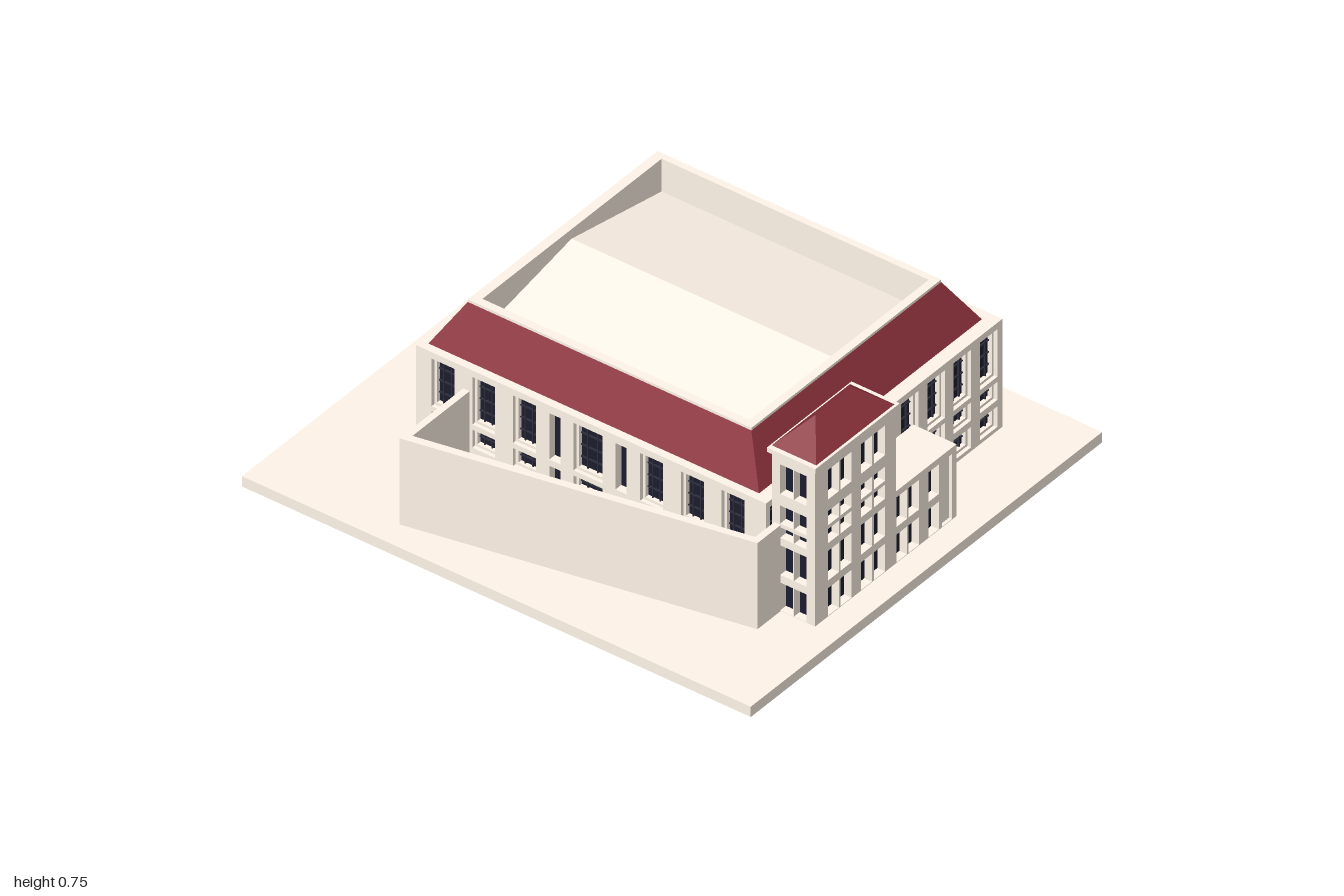
import * as THREE from 'three';
import { mergeGeometries } from 'three/addons/utils/BufferGeometryUtils.js';

const mat = (color) => new THREE.MeshStandardMaterial({ color, flatShading: true });
const STONE = mat(0xfff4e8), RED = mat(0x8a303a), GLASS = mat(0x1b1c2e), BAR = mat(0x2c2e3c), METAL = mat(0x9a9590);
const AWNING = RED.clone();
AWNING.side = THREE.DoubleSide;
const GROUND = 0.04, WALL = 0.03;

function add(parent, name, geometry, material) {
  const mesh = new THREE.Mesh(geometry, material);
  mesh.name = name;
  parent.add(mesh);
}

function boxGeo(x0, x1, y0, y1, z0, z1) {
  return new THREE.BoxGeometry(x1 - x0, y1 - y0, z1 - z0)
    .translate((x0 + x1) / 2, (y0 + y1) / 2, (z0 + z1) / 2);
}

const polygon = (pts, C = THREE.Shape) => new C(pts.map(([x, y]) => new THREE.Vector2(x, y)));
const rect = (x0, x1, y0, y1) => [[x0, y0], [x1, y0], [x1, y1], [x0, y1]];

function extrude(outer, holes, depth) {
  const shape = polygon(outer);
  for (const h of holes) shape.holes.push(polygon(h, THREE.Path));
  return new THREE.ExtrudeGeometry(shape, { depth, bevelEnabled: false });
}

// Plan outline given as [x, z], raised from y0 to y1
function slab(outer, holes, y0, y1) {
  const flip = (pts) => pts.map(([x, z]) => [x, -z]).reverse();
  return extrude(flip(outer), holes.map(flip), y1 - y0).rotateX(-Math.PI / 2).translate(0, y0, 0);
}

// Sloped roof faces between two rectangles [x0, x1, z0, z1, y]
function slopes(low, high) {
  const ring = ([x0, x1, z0, z1, y]) => [[x0, y, z1], [x1, y, z1], [x1, y, z0], [x0, y, z0]];
  const a = ring(low), b = ring(high), pos = [];
  for (let i = 0; i < 4; i++) {
    const j = (i + 1) % 4;
    pos.push(...a[i], ...a[j], ...b[j], ...a[i], ...b[j], ...b[i]);
  }
  const g = new THREE.BufferGeometry();
  g.setAttribute('position', new THREE.Float32BufferAttribute(pos, 3));
  g.computeVertexNormals();
  return g;
}

// Wall with window openings; windows are [centreX, y0, y1, width, framed]
function facade(parent, name, width, top, windows, x, z, turn) {
  const group = new THREE.Group();
  group.name = name;
  group.position.set(x, 0, z);
  group.rotation.y = turn;
  parent.add(group);
  const holes = [], frames = [], bars = [];
  for (const [c, y0, y1, w, framed] of windows) {
    const l = c - w / 2, r = c + w / 2, b = 0.01;
    holes.push(rect(l, r, y0, y1));
    if (!framed) continue;
    // Frame and glazing bars set back inside the opening
    frames.push(extrude(rect(l, r, y0, y1), [rect(l + b, r - b, y0 + b, y1 - b)], 0.016).translate(0, 0, -WALL));
    const cols = w > 0.06 ? 3 : 2, rows = Math.max(2, Math.round((y1 - y0) / 0.045));
    for (let i = 1; i < cols; i++) {
      const u = l + w * i / cols;
      bars.push(boxGeo(u - 0.002, u + 0.002, y0, y1, -WALL, -WALL + 0.007));
    }
    for (let i = 1; i < rows; i++) {
      const v = y0 + (y1 - y0) * i / rows;
      bars.push(boxGeo(l, r, v - 0.002, v + 0.002, -WALL, -WALL + 0.006));
    }
  }
  add(group, 'wall', extrude(rect(-width / 2, width / 2, GROUND, top), holes, WALL).translate(0, 0, -WALL), STONE);
  if (frames.length) add(group, 'windowFrames', mergeGeometries(frames), STONE);
  if (bars.length) add(group, 'windowBars', mergeGeometries(bars), BAR);
  return group;
}

const ROWS = [[0.25, 0.435], [0.16, 0.23], [0.055, 0.135]];

function mainHall(root) {
  const hall = new THREE.Group();
  hall.name = 'mainHall';
  root.add(hall);
  const X0 = -0.48, X1 = 0.74, Z0 = -0.64, Z1 = 0.735, cx = 0.13, cz = 0.0475;
  add(hall, 'darkInterior', boxGeo(X0 + WALL, X1 - WALL, GROUND, 0.44, Z0 + WALL, Z1 - WALL), GLASS);
  add(hall, 'wallTop', boxGeo(X0 + WALL, X1 - WALL, 0.44, 0.46, Z0 + WALL, Z1 - WALL), STONE);

  // Front and back: nine bays of three windows
  for (const [name, z, dir] of [['frontWall', Z1, 1], ['backWall', Z0, -1]]) {
    const bays = [];
    for (let i = -4; i <= 4; i++)
      for (const [a, b] of ROWS) bays.push([i * 0.1355 - dir * 0.003, a, b, 0.09, true]);
    facade(hall, name, X1 - X0, 0.46, bays, cx, z, dir > 0 ? 0 : Math.PI);
  }

  // Sides: three bays either side of an entrance slightly behind the middle
  for (const [name, x, dir] of [['leftWall', X1, 1], ['rightWall', X0, -1]]) {
    const mid = dir * 0.012;
    const windows = [[mid, 0.25, 0.435, 0.114, true], [mid, 0.175, 0.23, 0.114, true], [mid, 0.045, 0.13, 0.114, true]];
    const awnings = [], edges = [], lamps = [];
    for (const s of [-1, 1]) {
      windows.push([mid + s * 0.13, 0.25, 0.43, 0.044, false], [mid + s * 0.13, 0.06, 0.225, 0.044, false]);
      for (const d of [0.25, 0.41, 0.57]) {
        const c = mid + s * d, lamp = c - dir * 0.07;
        for (const [a, b] of ROWS) windows.push([c, a, b, 0.09, true]);
        const g = extrude([[-0.005, 0.114], [0.03, 0.104], [0.03, 0.113], [-0.005, 0.132]], [], 0.094);
        awnings.push(g.rotateY(-Math.PI / 2).translate(c + 0.047, 0, 0));
        edges.push(boxGeo(c - 0.047, c + 0.047, 0.106, 0.114, 0.026, 0.033));
        lamps.push(boxGeo(lamp - 0.004, lamp + 0.004, 0.142, 0.155, 0, 0.01));
      }
    }
    const side = facade(hall, name, Z1 - Z0 - 2 * WALL, 0.46, windows, x, cz, dir * Math.PI / 2);
    add(side, 'awnings', mergeGeometries(awnings), AWNING);
    add(side, 'awningEdges', mergeGeometries(edges), METAL);
    add(side, 'lamps', mergeGeometries(lamps), BAR);
    add(side, 'entranceCanopy', boxGeo(mid - 0.097, mid + 0.097, 0.132, 0.162, 0, 0.025), STONE);
  }

  // Mansard roof, parapet and the shallow gabled roof sunk inside it
  add(hall, 'mansardRoof', slopes([-0.45, 0.7, -0.615, 0.685, 0.46], [-0.365, 0.615, -0.525, 0.59, 0.612]), RED);
  add(hall, 'parapet', slab(rect(-0.365, 0.615, -0.525, 0.59), [rect(-0.335, 0.59, -0.49, 0.56)], 0.46, 0.622), STONE);
  add(hall, 'innerRoof', extrude([[-0.335, 0.46], [0.59, 0.46], [0.59, 0.495], [0.125, 0.585], [-0.335, 0.495]], [], 1.05)
    .translate(0, 0, -0.49), STONE);
}

function frontTower(root) {
  const tower = new THREE.Group();
  tower.name = 'frontTower';
  root.add(tower);
  const X0 = -0.45, X1 = -0.033, Z0 = 0.735, Z1 = 0.905, cx = (X0 + X1) / 2, cz = (Z0 + Z1) / 2;
  const upper = [[0.495, 0.61], [0.395, 0.45], [0.325, 0.38]], lower = [[0.18, 0.295], [0.042, 0.15]];
  const grid = (centres, rows, w) => centres.flatMap((c) => rows.map(([a, b]) => [c, a, b, w, false]));
  const sideRows = [[0.495, 0.61], [0.38, 0.45], [0.325, 0.365]];
  const sideX = [-0.027, 0.027];
  add(tower, 'darkInterior', boxGeo(X0 + WALL, X1 - WALL, GROUND, 0.63, Z0 + WALL, Z1 - WALL), GLASS);
  facade(tower, 'frontWall', X1 - X0, 0.645, grid([-0.355, -0.29, -0.185, -0.117].map((x) => x - cx), [...upper, ...lower], 0.057), cx, Z1, 0);
  facade(tower, 'backWall', X1 - X0, 0.645, [], cx, Z0, Math.PI);
  const sideW = Z1 - Z0 - 2 * WALL;
  facade(tower, 'leftWall', sideW, 0.645, grid(sideX, sideRows, 0.05), X1, cz, Math.PI / 2);
  facade(tower, 'rightWall', sideW, 0.645, grid(sideX, [...sideRows, ...lower], 0.05), X0, cz, -Math.PI / 2);
  add(tower, 'cornice', boxGeo(-0.458, -0.022, 0.643, 0.66, 0.722, 0.912), STONE);
  add(tower, 'hipRoof', slopes([-0.44, -0.036, 0.727, 0.902, 0.66], [-0.33, -0.145, 0.815, 0.815, 0.753]), RED);

  // Low entrance wing beside the tower
  const wing = new THREE.Group();
  wing.name = 'entranceWing';
  root.add(wing);
  const W1 = 0.28, wx = (X1 + W1) / 2;
  add(wing, 'darkInterior', boxGeo(X1, W1 - WALL, GROUND, 0.3, Z0, Z1 - WALL), GLASS);
  add(wing, 'roof', boxGeo(X1, W1 - WALL, 0.3, 0.32, Z0, Z1 - WALL), STONE);
  const front = [...grid([-0.002, 0.06, 0.162].map((x) => x - wx), lower, 0.054), [0.231 - wx, 0.042, 0.295, 0.052, false]];
  facade(wing, 'frontWall', W1 - X1, 0.32, front, wx, Z1, 0);
  add(wing, 'blindPanel', boxGeo(0.2, 0.262, GROUND, 0.3, Z1 - WALL, Z1 - 0.012), STONE);
  facade(wing, 'sideWall', Z1 - Z0 - WALL, 0.32, grid([-0.036, 0.029], [[0.042, 0.295]], 0.052), W1, cz - WALL / 2, Math.PI / 2);
}

export function createModel() {
  const root = new THREE.Group();
  root.name = 'civicHall';
  add(root, 'groundSlab', boxGeo(-0.907, 0.907, 0, GROUND, -1, 1), STONE);
  mainHall(root);
  frontTower(root);

  // Open yard enclosed by a slanting wall
  add(root, 'yardWall', slab([[-0.48, -0.455], [-0.81, -0.455], [-0.57, 0.77], [-0.45, 0.77],
    [-0.45, 0.745], [-0.548, 0.745], [-0.775, -0.43], [-0.48, -0.43]], [], GROUND, 0.375), STONE);
  return root;
}
